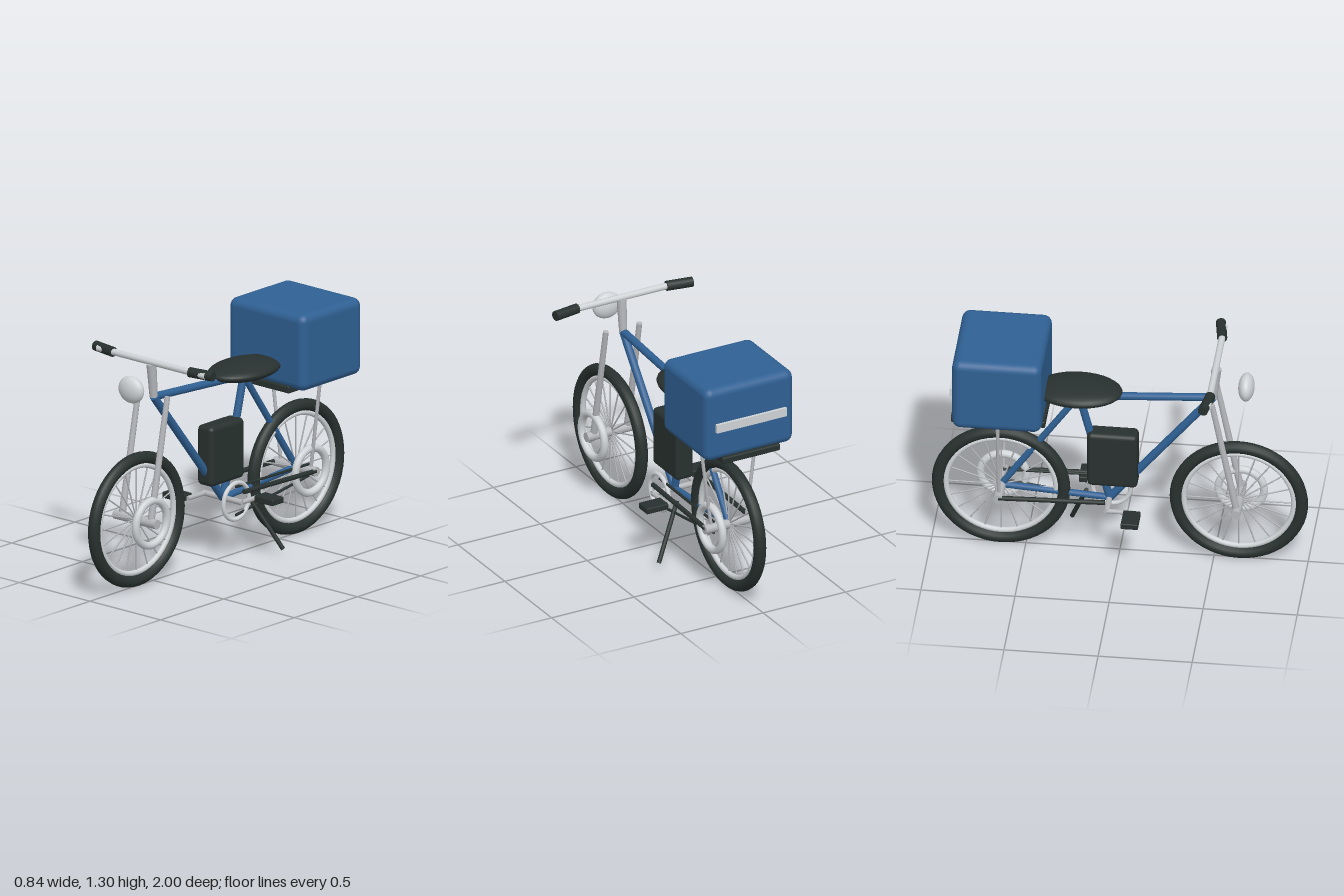
import * as THREE from 'three';
import { RoundedBoxGeometry } from 'three/addons/geometries/RoundedBoxGeometry.js';

const material = (name, color) => {
  const m = new THREE.MeshStandardMaterial({ color });
  m.name = name;
  return m;
};

export function createModel() {
  const blue = material('frame blue', 0x2f6093);
  const dark = material('rubber black', 0x28312f);
  const silver = material('satin silver', 0xb4b6ba);
  const bright = material('polished silver', 0xcfd3d6);
  const red = material('lamp red', 0xc81a1e);

  const bike = new THREE.Group();
  bike.name = 'cargoBicycle';

  const add = (name, geometry, mat, x = 0, y = 0, z = 0, parent = bike) => {
    const mesh = new THREE.Mesh(geometry, mat);
    mesh.name = name;
    mesh.position.set(x, y, z);
    parent.add(mesh);
    return mesh;
  };

  // Round bar between two points, radius r0 at the start and r1 at the end
  const bar = (name, a, b, r0, mat, r1 = r0, parent = bike, sides = 14) => {
    const p = new THREE.Vector3(...a), q = new THREE.Vector3(...b);
    const d = q.clone().sub(p);
    const mesh = add(name, new THREE.CylinderGeometry(r1, r0, d.length(), sides), mat, 0, 0, 0, parent);
    mesh.position.copy(p).add(q).multiplyScalar(0.5);
    mesh.quaternion.setFromUnitVectors(new THREE.Vector3(0, 1, 0), d.normalize());
    return mesh;
  };

  // Ring standing in the y-z plane
  const ring = (name, radius, tube, mat, x, y, z, parent = bike) => {
    const mesh = add(name, new THREE.TorusGeometry(radius, tube, 12, 56), mat, x, y, z, parent);
    mesh.rotation.y = Math.PI / 2;
    return mesh;
  };

  // Wheels: tyre, rim, spokes, hub and brake ring
  const axleY = 0.374, frontZ = 0.632, rearZ = -0.632;
  for (const [name, z] of [['frontWheel', frontZ], ['rearWheel', rearZ]]) {
    const wheel = new THREE.Group();
    wheel.name = name;
    wheel.position.set(0, axleY, z);
    bike.add(wheel);
    ring('tyre', 0.335, 0.033, dark, 0, 0, 0, wheel);
    ring('rim', 0.293, 0.015, bright, 0, 0, 0, wheel);
    ring('brakeRing', 0.122, 0.021, bright, 0.105, 0, 0, wheel);
    bar('hub', [-0.148, 0, 0], [0.148, 0, 0], 0.026, silver, 0.026, wheel, 20);
    const spokes = 20;
    for (let i = 0; i < spokes; i++) {
      const a = (i / spokes) * Math.PI * 2;
      const c = Math.cos(a), s = Math.sin(a);
      bar('spoke', [0, c * 0.02, s * 0.02], [0, c * 0.288, s * 0.288], 0.0042, silver, 0.0042, wheel, 6);
    }
  }

  // Frame tubes joining head, seat, crank and rear axle
  const head = [0, 1.02, 0.495], seatTop = [0, 0.975, -0.217];
  const crank = [0, 0.335, -0.055], rear = [0, axleY, rearZ];
  bar('topTube', head, seatTop, 0.021, blue);
  bar('downTube', head, crank, 0.022, blue);
  bar('seatTube', crank, seatTop, 0.021, blue);
  bar('seatStay', seatTop, rear, 0.018, blue);
  bar('chainStay', crank, rear, 0.018, blue);

  // Steering: stem, handlebar, headlight
  bar('stem', [0, 1.02, 0.495], [0, 1.205, 0.513], 0.022, silver, 0.027);
  bar('handlebar', [-0.38, 1.215, 0.51], [0.38, 1.215, 0.51], 0.018, bright);
  const lamp = add('headlight', new THREE.SphereGeometry(1, 28, 18), bright, 0, 1.1, 0.672);
  lamp.scale.set(0.083, 0.074, 0.043);

  // Mirrored parts
  for (const s of [-1, 1]) {
    bar('forkLeg', [s * 0.102, axleY, frontZ], [s * 0.102, 1.043, 0.5], 0.019, silver, 0.015);
    bar('grip', [s * 0.27, 1.215, 0.512], [s * 0.416, 1.215, 0.488], 0.027, dark);
    bar('rackStrut', [s * 0.105, axleY, rearZ], [s * 0.17, 0.872, rearZ], 0.0095, silver);
    bar('sideRail', [s * 0.138, 0.393, -0.065], [s * 0.138, 0.377, rearZ], 0.013, dark);
    // Cranks lie level, one forward and one back
    const pedalZ = crank[2] - s * 0.135;
    bar('crankArm', [s * 0.13, 0.335, crank[2]], [s * 0.13, 0.335, pedalZ], 0.013, silver);
    add('pedal', new RoundedBoxGeometry(0.132, 0.034, 0.092, 2, 0.006), dark, s * 0.204, 0.337, pedalZ);
    // Upper and lower chain runs
    bar('chainRun', [0.09, 0.335 + s * 0.078, crank[2]], [0.09, axleY + s * 0.032, rearZ], 0.0075, dark);
  }

  // Drive: crank axle and chainring
  bar('crankAxle', [-0.138, 0.335, crank[2]], [0.138, 0.335, crank[2]], 0.016, silver);
  ring('chainring', 0.1, 0.012, bright, 0.092, 0.335, crank[2]);
  bar('kickstand', [0.06, 0.33, -0.185], [0.224, 0.045, -0.28], 0.012, dark);

  // Battery pack and saddle
  add('battery', new RoundedBoxGeometry(0.108, 0.33, 0.268, 3, 0.025), dark, 0, 0.597, -0.037);
  const saddle = add('saddle', new THREE.SphereGeometry(1, 32, 18), dark, 0, 1.009, -0.222);
  saddle.scale.set(0.156, 0.05, 0.235);

  // Luggage rack, cargo box with rear stripe, tail light
  add('rack', new RoundedBoxGeometry(0.35, 0.038, 0.502, 2, 0.008), dark, 0, 0.888, -0.629);
  add('cargoBox', new RoundedBoxGeometry(0.54, 0.423, 0.477, 3, 0.045), blue, 0, 1.099, -0.627);
  add('rearStripe', new THREE.BoxGeometry(0.425, 0.048, 0.018), bright, 0, 1.086, -0.873);
  add('tailLight', new RoundedBoxGeometry(0.134, 0.032, 0.032, 3, 0.012), red, 0, 0.857, -0.741);

  return bike;
}
